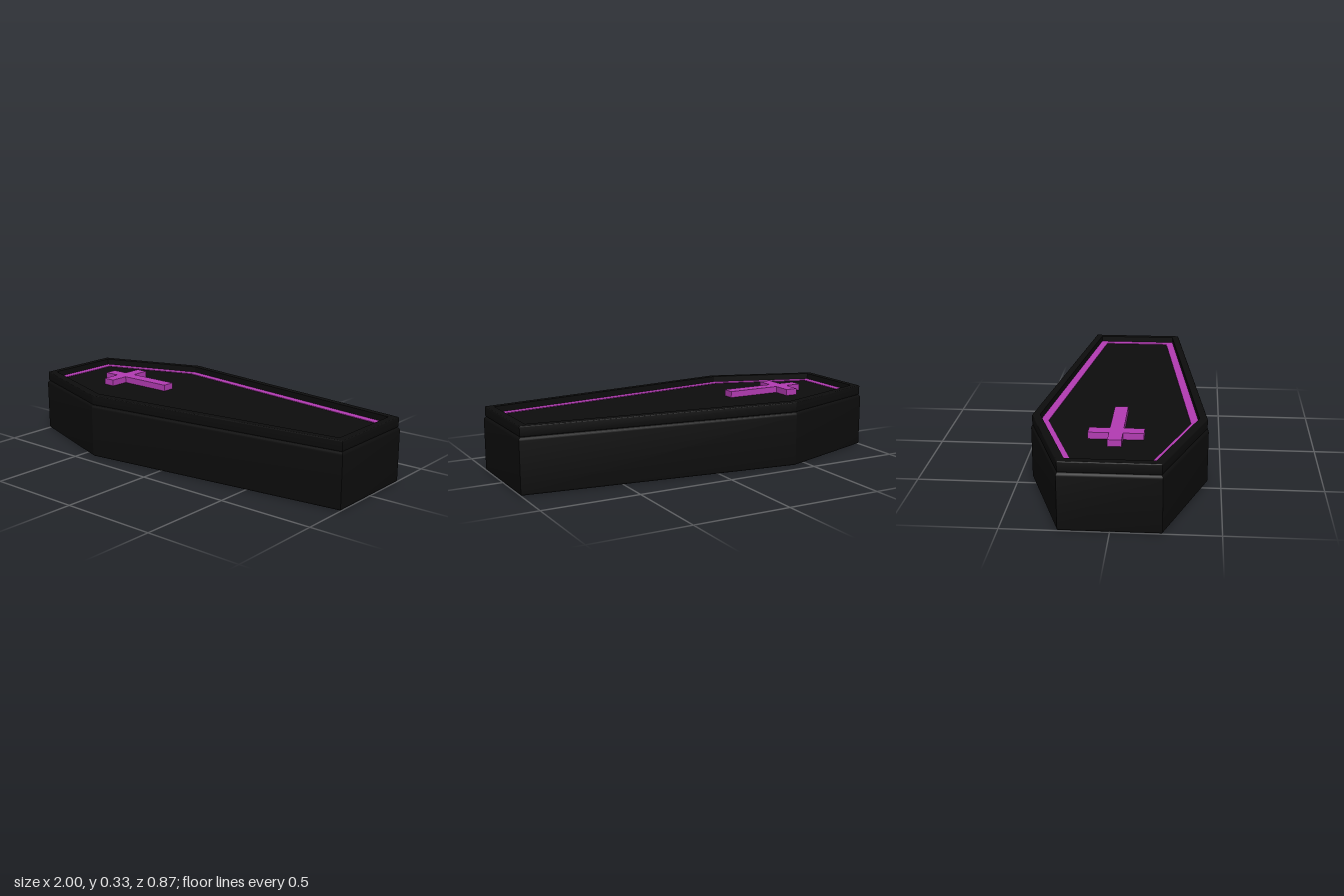
import * as THREE from 'three';
import { toCreasedNormals } from 'three/addons/utils/BufferGeometryUtils.js';

// Six-sided plan as [x, z], counter-clockwise seen from above
const half = [[-1, 0.235], [-0.43, 0.434], [1, 0.255]];
const outline = [...half, ...half.map(([x, z]) => [x, -z]).reverse()];

// Plan moved inwards by d with mitred corners, at height y
function ring(d, y) {
  const n = outline.length;
  const normal = (i) => {
    const [x0, z0] = outline[i % n], [x1, z1] = outline[(i + 1) % n];
    return new THREE.Vector2(z1 - z0, x0 - x1).normalize();
  };
  return outline.map(([x, z], i) => {
    const a = normal(i + n - 1), b = normal(i);
    const k = d / (1 + a.dot(b));
    return new THREE.Vector3(x + k * (a.x + b.x), y, z + k * (a.y + b.y));
  });
}

// Skin through a profile of [inset, height] pairs, closed at both ends if capped
function loft(profile, capped) {
  const rings = profile.map(([d, y]) => ring(d, y));
  const pos = [];
  const tri = (...pts) => pts.forEach((p) => pos.push(p.x, p.y, p.z));
  const n = outline.length;
  const bottom = rings[0], top = rings[rings.length - 1];
  for (let i = 0; i < n; i++) {
    const j = (i + 1) % n;
    for (let r = 0; r < rings.length - 1; r++) {
      const lo = rings[r], hi = rings[r + 1];
      tri(lo[i], lo[j], hi[j]);
      tri(lo[i], hi[j], hi[i]);
    }
    if (capped) {
      tri(new THREE.Vector3(0, bottom[0].y, 0), bottom[j], bottom[i]);
      tri(new THREE.Vector3(0, top[0].y, 0), top[i], top[j]);
    }
  }
  const geo = new THREE.BufferGeometry();
  geo.setAttribute('position', new THREE.Float32BufferAttribute(pos, 3));
  return toCreasedNormals(geo, 0.4);
}

// Quarter-round edge of radius r: from the underside outwards, or from the side up
function roundEdge(inset, y, r, upper) {
  const pts = [];
  for (let i = 0; i <= 5; i++) {
    const t = (i / 5) * Math.PI / 2;
    pts.push(upper
      ? [inset + r * (1 - Math.cos(t)), y - r + r * Math.sin(t)]
      : [inset + r * (1 - Math.sin(t)), y + r - r * Math.cos(t)]);
  }
  return pts;
}

export function createModel() {
  const group = new THREE.Group();
  const black = new THREE.MeshStandardMaterial({ color: 0x0d0d0d });
  const purple = new THREE.MeshStandardMaterial({ color: 0xb43cb4 });
  const add = (name, geo, mat) => {
    const mesh = new THREE.Mesh(geo, mat);
    mesh.name = name;
    group.add(mesh);
  };

  // Box with rounded top and bottom edges
  add('body', loft([
    ...roundEdge(0, 0, 0.01, false),
    ...roundEdge(0, 0.282, 0.018, true),
  ], true), black);

  // Lid with a raised rim around a sunken panel
  const floor = 0.299;
  add('lid', loft([
    ...roundEdge(0.006, 0.28, 0.007, false),
    ...roundEdge(0.006, 0.333, 0.006, true),
    [0.045, 0.333],
    [0.045, floor],
  ], true), black);

  // Coloured band along the inside of the rim
  add('trim', loft([
    [0.045, floor], [0.045, floor + 0.003], [0.085, floor + 0.003], [0.085, floor],
  ], false), purple);

  // Cross standing on the panel
  const w = 0.033, arm = 0.132, x0 = -0.727, x1 = -0.64, x2 = -0.575, x3 = -0.283;
  const side = [[x0, w], [x1, w], [x1, arm], [x2, arm], [x2, w], [x3, w]];
  const points = [...side, ...side.map(([x, y]) => [x, -y]).reverse()];
  const shape = new THREE.Shape(points.map(([x, y]) => new THREE.Vector2(x, y)));
  const cross = new THREE.ExtrudeGeometry(shape, { depth: 0.332 - floor, bevelEnabled: false });
  cross.rotateX(-Math.PI / 2).translate(0, floor, 0);
  add('cross', cross, purple);

  return group;
}
